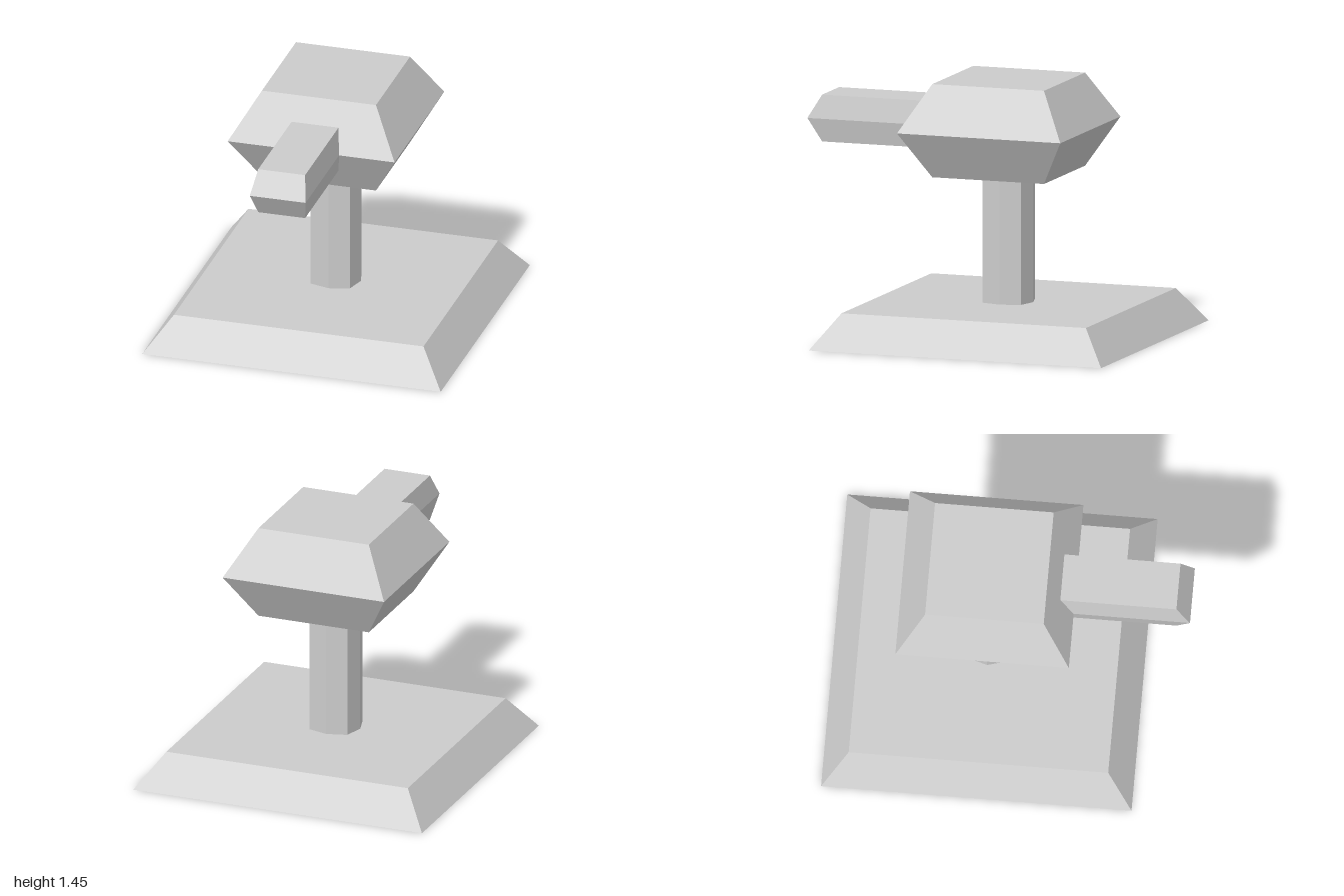
import * as THREE from 'three';

const CENTRE_Z = -0.133;

// Skins a stack of horizontal outlines { y, pts: [[x, z], ...] }, bottom to top, and caps both ends.
function loft(name, rings) {
  const n = rings[0].pts.length;
  const positions = rings.flatMap(({ y, pts }) => pts.flatMap(([x, z]) => [x, y, z]));
  const index = [];
  for (let r = 0; r < rings.length - 1; r++) {
    for (let i = 0; i < n; i++) {
      const a = r * n + i, b = r * n + (i + 1) % n;
      index.push(a, b, b + n, a, b + n, a + n);
    }
  }
  const top = (rings.length - 1) * n;
  for (let i = 1; i < n - 1; i++) {
    index.push(0, i + 1, i);
    index.push(top, top + i, top + i + 1);
  }
  const indexed = new THREE.BufferGeometry();
  indexed.setAttribute('position', new THREE.Float32BufferAttribute(positions, 3));
  indexed.setIndex(index);
  const geometry = indexed.toNonIndexed();
  geometry.computeVertexNormals();
  const mesh = new THREE.Mesh(
    geometry,
    new THREE.MeshStandardMaterial({ color: 0xcccccc, flatShading: true })
  );
  mesh.name = name;
  return mesh;
}

// Rectangular outline, mirrored in x.
const rect = (y, halfX, back, front) => ({
  y,
  pts: [[-halfX, front], [halfX, front], [halfX, back], [-halfX, back]],
});

// Square outline about the turret axis.
const square = (y, half) => rect(y, half, CENTRE_Z - half, CENTRE_Z + half);

// Eight-sided outline whose corners sit a little further out than its side points.
function octagon(y, side, corner) {
  const pts = [];
  for (let i = 0; i < 8; i++) {
    const a = i * Math.PI / 4;
    const r = i % 2 ? corner * Math.SQRT2 : side;
    pts.push([Math.sin(a) * r, CENTRE_Z + Math.cos(a) * r]);
  }
  return { y, pts };
}

export function createModel() {
  const model = new THREE.Group();
  model.name = 'turret';
  model.add(
    // Sloped square foot
    loft('base', [square(0, 0.866), square(0.196, 0.724)]),
    // Upright column
    loft('post', [octagon(0.196, 0.145, 0.114), octagon(0.924, 0.145, 0.114)]),
    // Head, widest at mid height
    loft('head', [square(0.924, 0.331), square(1.186, 0.484), square(1.449, 0.331)]),
    // Barrel with a pointed nose, running back into the head
    loft('barrel', [
      rect(1.054, 0.136, 0, 0.922),
      rect(1.186, 0.162, 0, 1),
      rect(1.318, 0.136, 0, 0.922),
    ])
  );
  return model;
}
